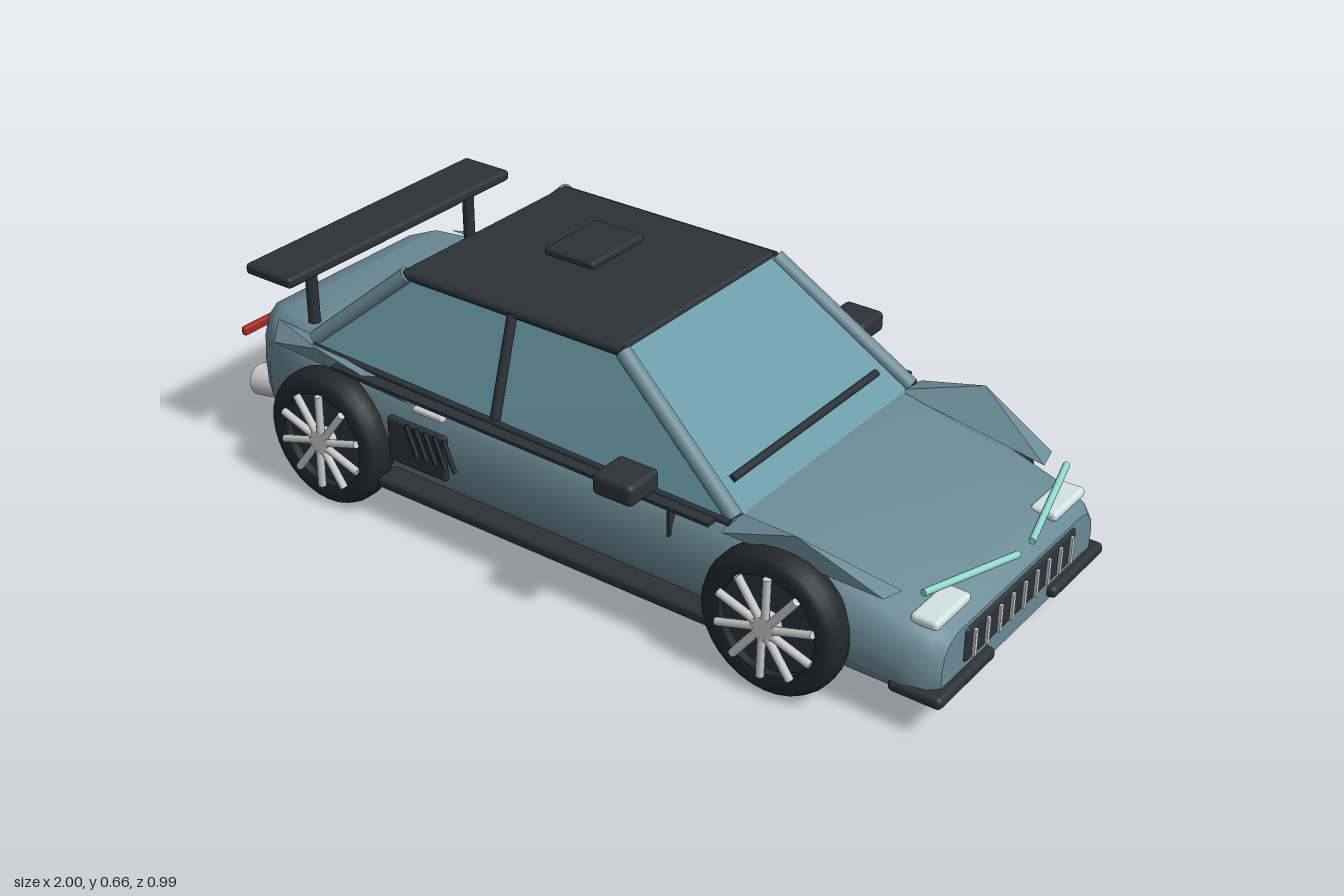
import * as THREE from 'three';
import { toCreasedNormals } from 'three/addons/utils/BufferGeometryUtils.js';
import { RoundedBoxGeometry } from 'three/addons/geometries/RoundedBoxGeometry.js';

const mat = (color, side = THREE.FrontSide) => new THREE.MeshStandardMaterial({ color, side });
const PAINT = mat(0x6b8a96), PANEL = mat(0x6b8a96, THREE.DoubleSide), GLASS = mat(0x6a99a6);
const DARK = mat(0x2b3238), TIRE = mat(0x23282b), METAL = mat(0xc4c8c8);
const LAMP = mat(0xd2e4e2), CYAN = mat(0x8fd8d0), RED = mat(0xa82a22);

const V = (x, y, z) => new THREE.Vector3(x, y, z);

function add(parent, name, geometry, material, x = 0, y = 0, z = 0) {
  const m = new THREE.Mesh(geometry, material);
  m.name = name;
  m.position.set(x, y, z);
  parent.add(m);
  return m;
}

// Box given by its extents on each axis
function box(parent, name, material, [x0, x1], [y0, y1], [z0, z1], r = 0) {
  const s = [x1 - x0, y1 - y0, z1 - z0];
  const g = r ? new RoundedBoxGeometry(...s, 3, r) : new THREE.BoxGeometry(...s);
  return add(parent, name, g, material, (x0 + x1) / 2, (y0 + y1) / 2, (z0 + z1) / 2);
}

// Round rod between two points
function rod(parent, name, material, a, b, r, r2 = r, sides = 12) {
  const m = add(parent, name, new THREE.CylinderGeometry(r2, r, a.distanceTo(b), sides), material);
  m.position.copy(a).add(b).multiplyScalar(0.5);
  m.quaternion.setFromUnitVectors(V(0, 1, 0), b.clone().sub(a).normalize());
  return m;
}

// Closed skin over a row of equal rings of points
function loft(rings, crease) {
  const n = rings[0].length, idx = [];
  for (let i = 0; i < rings.length - 1; i++) {
    for (let j = 0; j < n; j++) {
      const a = i * n + j, b = i * n + (j + 1) % n;
      idx.push(a, a + n, b, b, a + n, b + n);
    }
  }
  const end = (rings.length - 1) * n;
  for (let j = 1; j < n - 1; j++) idx.push(0, j, j + 1, end, end + j + 1, end + j);
  const g = new THREE.BufferGeometry().setFromPoints(rings.flat());
  g.setIndex(idx);
  return toCreasedNormals(g, crease);
}

// Triangles around an apex
function fan(apex, rim) {
  const pts = rim.flatMap((p, i) => [apex, p, rim[(i + 1) % rim.length]]);
  const g = new THREE.BufferGeometry().setFromPoints(pts);
  g.computeVertexNormals();
  return g;
}

// Cross-section of the lower body: bottom, top and half width
function bodyRing([x, bottom, top, w]) {
  const h = top - bottom;
  const half = [[0, 0.84], [0.08, 0.92], [0.25, 0.99], [0.5, 1], [0.75, 0.98], [0.92, 0.92], [1, 0.82]]
    .map(([t, k]) => V(x, bottom + t * h, k * w));
  return [...half, ...half.map(p => V(p.x, p.y, -p.z)).reverse()];
}

function makeWheel() {
  const wheel = new THREE.Group();
  const profile = [[0.118, -0.036], [0.15, -0.04], [0.163, -0.032], [0.17, -0.014], [0.17, 0.014],
    [0.163, 0.032], [0.15, 0.04], [0.118, 0.036], [0.118, -0.036]].map(p => new THREE.Vector2(...p));
  const tire = add(wheel, 'tire', toCreasedNormals(new THREE.LatheGeometry(profile, 32), 0.7), TIRE);
  tire.rotation.x = Math.PI / 2;
  const disc = add(wheel, 'rimDisc', new THREE.CylinderGeometry(0.12, 0.12, 0.03, 32), DARK);
  disc.rotation.x = Math.PI / 2;
  const hub = add(wheel, 'hub', new THREE.CylinderGeometry(0.028, 0.028, 0.1, 16), METAL);
  hub.rotation.x = Math.PI / 2;
  // Spokes on both faces, slightly swept
  for (const s of [1, -1]) {
    for (let i = 0; i < 10; i++) {
      const a = i * Math.PI / 5 + 0.15, b = a + 0.12;
      rod(wheel, 'spoke', METAL, V(0.022 * Math.cos(a), 0.022 * Math.sin(a), s * 0.042),
        V(0.122 * Math.cos(b), 0.122 * Math.sin(b), s * 0.042), 0.0095, 0.0095, 8);
    }
  }
  return wheel;
}

// Parts on one side; mirrored for the other
function makeSide(s) {
  const side = new THREE.Group();
  side.name = s > 0 ? 'rightSide' : 'leftSide';
  const z = (a, b) => s > 0 ? [a, b] : [-b, -a];
  const P = (x, y, d) => V(x, y, s * d);

  for (const [name, x] of [['frontWheel', 0.62], ['rearWheel', -0.625]]) {
    const w = makeWheel();
    w.name = name;
    w.position.set(x, 0.172, s * 0.39);
    side.add(w);
  }

  // Raised fender panels
  add(side, 'frontFender', fan(P(0.66, 0.385, 0.385),
    [P(0.47, 0.34, 0.32), P(0.86, 0.29, 0.30), P(0.85, 0.295, 0.355), P(0.49, 0.335, 0.4)]), PANEL);
  add(side, 'rearFender', fan(P(-0.66, 0.385, 0.385),
    [P(-0.86, 0.37, 0.31), P(-0.4, 0.36, 0.34), P(-0.36, 0.345, 0.4), P(-0.82, 0.345, 0.37)]), PANEL);

  // Window pillars, roof rail and belt trim
  rod(side, 'frontPillar', PAINT, P(0.49, 0.345, 0.35), P(0.155, 0.597, 0.287), 0.019);
  rod(side, 'rearPillar', PAINT, P(-0.7, 0.385, 0.345), P(-0.455, 0.597, 0.287), 0.019);
  rod(side, 'middlePillar', DARK, P(-0.145, 0.35, 0.365), P(-0.145, 0.597, 0.29), 0.012);
  rod(side, 'roofRail', DARK, P(-0.46, 0.597, 0.284), P(0.155, 0.597, 0.284), 0.013);
  rod(side, 'beltTrim', DARK, P(-0.69, 0.375, 0.365), P(0.49, 0.343, 0.37), 0.008);
  const blade = box(side, 'beltBlade', DARK, [-0.6, 0.46], [0.349, 0.357], z(0.36, 0.405));
  blade.rotation.z = -0.02;

  // Sill, side vent with slats, handle and door gap
  box(side, 'sill', DARK, [-0.48, 0.48], [0.09, 0.122], z(0.34, 0.408), 0.012);
  box(side, 'sideVent', DARK, [-0.45, -0.275], [0.165, 0.28], z(0.365, 0.389), 0.008);
  for (let i = 0; i < 5; i++) {
    const x = -0.385 + i * 0.028;
    rod(side, 'ventSlat', TIRE, P(x, 0.28, 0.392), P(x + 0.03, 0.205, 0.392), 0.006, 0.006, 6);
  }
  box(side, 'doorHandle', METAL, [-0.365, -0.275], [0.32, 0.335], z(0.372, 0.392), 0.006);
  box(side, 'doorGap', DARK, [0.34, 0.346], [0.26, 0.34], z(0.36, 0.384));

  box(side, 'mirror', DARK, [0.225, 0.33], [0.375, 0.427], z(0.392, 0.494), 0.014);

  // Lights
  box(side, 'headlight', LAMP, [0.89, 0.955], [0.236, 0.26], z(0.18, 0.32), 0.01);
  rod(side, 'lightStrip', CYAN, P(0.91, 0.308, 0.305), P(0.975, 0.279, 0.03), 0.008);
  box(side, 'tailLight', RED, [-0.966, -0.95], [0.305, 0.328], z(0.06, 0.338), 0.006);

  // Bumper corner, exhaust and wing post
  box(side, 'bumperBar', DARK, [0.955, 0.995], [0.083, 0.112], z(0.128, 0.36), 0.012);
  box(side, 'bumperReturn', DARK, [0.87, 0.99], [0.083, 0.112], z(0.32, 0.36), 0.012);
  rod(side, 'exhaust', METAL, P(-0.86, 0.15, 0.255), P(-1.0, 0.137, 0.255), 0.03, 0.041, 20);
  rod(side, 'wingPost', DARK, P(-0.77, 0.36, 0.28), P(-0.77, 0.53, 0.28), 0.015);
  return side;
}

export function createModel() {
  const car = new THREE.Group();
  car.name = 'car';

  // Lower body: x, bottom, top, half width
  const body = [[-0.965, 0.1, 0.335, 0.25], [-0.94, 0.095, 0.36, 0.29], [-0.88, 0.095, 0.378, 0.335],
    [-0.72, 0.097, 0.38, 0.37], [-0.4, 0.1, 0.37, 0.38], [0.2, 0.098, 0.352, 0.382],
    [0.5, 0.09, 0.342, 0.38], [0.75, 0.072, 0.295, 0.375], [0.9, 0.063, 0.253, 0.36],
    [0.955, 0.063, 0.235, 0.345], [0.975, 0.075, 0.22, 0.325]];
  add(car, 'body', loft(body.map(bodyRing), 0.6), PAINT);

  // Glass cabin narrowing to the roof
  const ring = (xf, yf, xr, yr, w) => [V(xf, yf, w), V(xr, yr, w), V(xr, yr, -w), V(xf, yf, -w)];
  add(car, 'cabinGlass', loft([ring(0.5, 0.335, -0.71, 0.372, 0.357), ring(0.155, 0.6, -0.455, 0.6, 0.284)], 0.1), GLASS);

  box(car, 'roof', DARK, [-0.462, 0.155], [0.588, 0.612], [-0.288, 0.288], 0.01);
  box(car, 'roofPanel', DARK, [-0.215, -0.075], [0.641, 0.661], [-0.095, 0.095], 0.008);
  rod(car, 'wiper', DARK, V(0.435, 0.387, -0.285), V(0.435, 0.387, 0.285), 0.009);
  box(car, 'rearWing', DARK, [-0.87, -0.725], [0.518, 0.546], [-0.392, 0.392], 0.01);

  // Grille with upright bars
  box(car, 'grille', DARK, [0.94, 0.982], [0.124, 0.211], [-0.238, 0.238], 0.012);
  for (let i = -4; i <= 4; i++) {
    box(car, 'grilleBar', METAL, [0.976, 0.988], [0.133, 0.199], [i * 0.0525 - 0.005, i * 0.0525 + 0.005]);
  }

  car.add(makeSide(1), makeSide(-1));
  return car;
}
